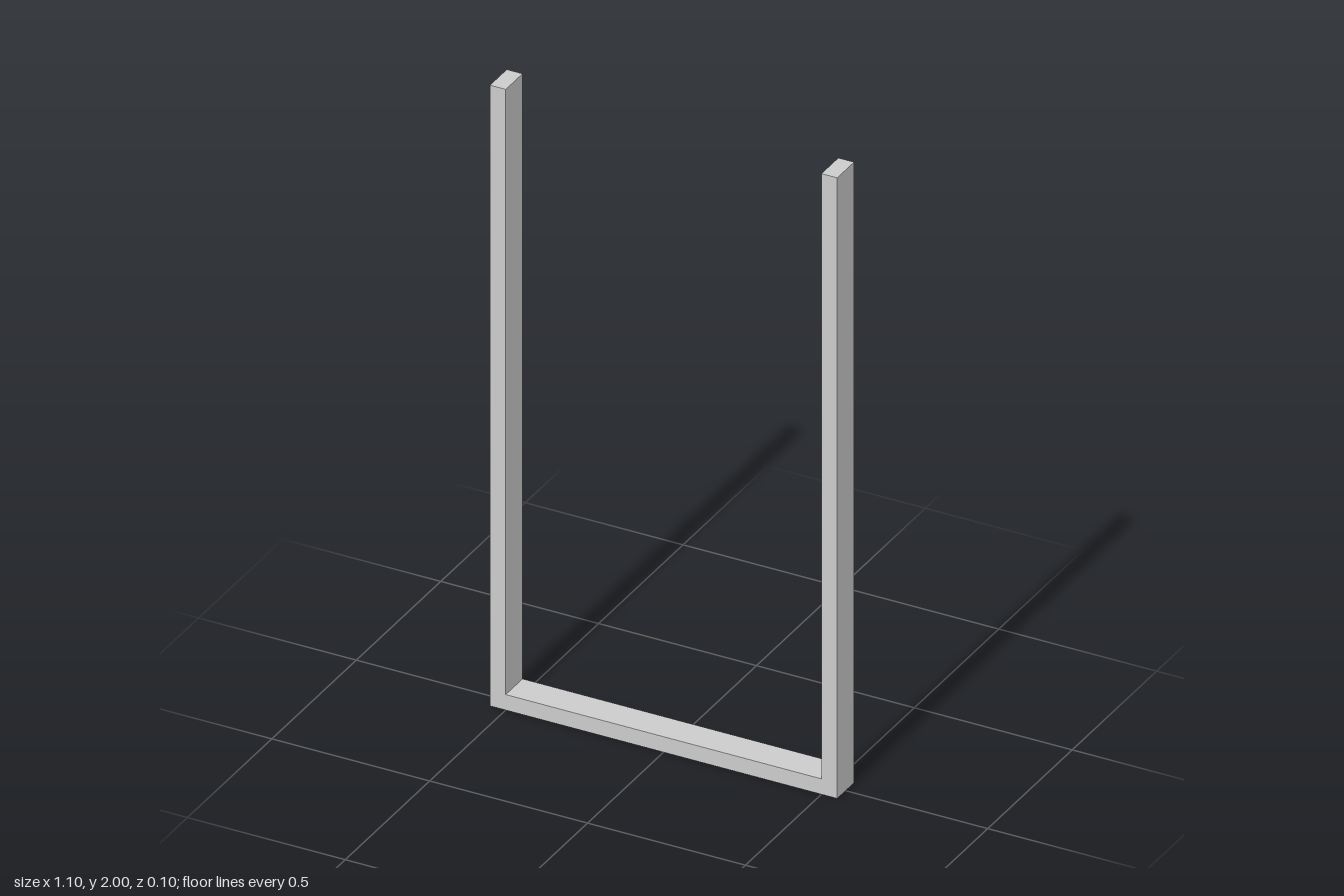
import * as THREE from 'three';

export function createModel() {
  const halfWidth = 0.55, height = 2, bar = 0.05, depth = 0.1;
  const inner = halfWidth - bar;

  // U-shaped outline: two uprights joined by a bottom rail
  const outline = new THREE.Shape([
    [-halfWidth, 0], [halfWidth, 0], [halfWidth, height], [inner, height],
    [inner, bar], [-inner, bar], [-inner, height], [-halfWidth, height],
  ].map(([x, y]) => new THREE.Vector2(x, y)));

  const geometry = new THREE.ExtrudeGeometry(outline, { depth, bevelEnabled: false });
  geometry.translate(0, 0, -depth / 2);

  const frame = new THREE.Mesh(geometry, new THREE.MeshStandardMaterial({ color: 0xcccccc }));
  frame.name = 'openFrame';

  const model = new THREE.Group();
  model.name = 'uShapedFrame';
  model.add(frame);
  return model;
}
